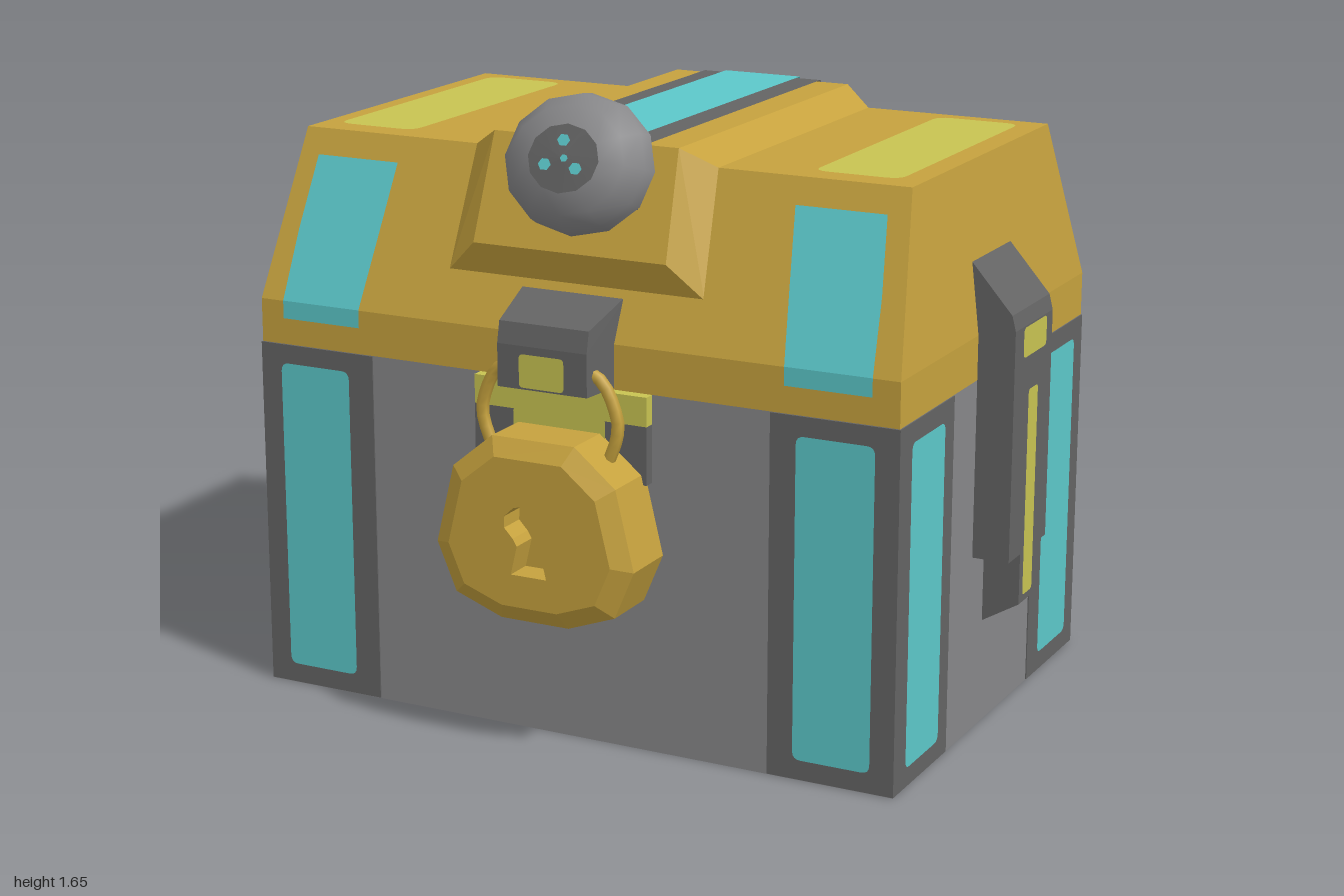
import * as THREE from 'three';
import { ConvexGeometry } from 'three/addons/geometries/ConvexGeometry.js';

const mat = (name, color, side = THREE.FrontSide) => new THREE.MeshStandardMaterial({ name, color, side });
const V = (x, y, z) => new THREE.Vector3(x, y, z);

export function createModel() {
  const root = new THREE.Group();
  root.name = 'treasureChest';
  const gold = mat('gold', 0xc6a23e);
  const grey = mat('grey', 0x878789, THREE.DoubleSide);
  const dark = mat('darkGrey', 0x646464, THREE.DoubleSide);
  const teal = mat('teal', 0x5cc8ca, THREE.DoubleSide);
  const yellow = mat('yellow', 0xc8c452, THREE.DoubleSide);

  const add = (name, geo, material, pos = [0, 0, 0], rot = [0, 0, 0], parent = root) => {
    const m = new THREE.Mesh(geo, material);
    m.name = name;
    m.position.set(...pos);
    m.rotation.set(...rot);
    parent.add(m);
    return m;
  };
  const box = (name, material, x0, x1, y0, y1, z0, z1) =>
    add(name, new THREE.BoxGeometry(x1 - x0, y1 - y0, z1 - z0), material,
      [(x0 + x1) / 2, (y0 + y1) / 2, (z0 + z1) / 2]);

  // Flat rounded panel facing +z
  const panel = (w, h, r = 0.022) => {
    const s = new THREE.Shape(), a = w / 2, b = h / 2;
    s.moveTo(-a + r, -b).lineTo(a - r, -b).quadraticCurveTo(a, -b, a, -b + r)
      .lineTo(a, b - r).quadraticCurveTo(a, b, a - r, b)
      .lineTo(-a + r, b).quadraticCurveTo(-a, b, -a, b - r)
      .lineTo(-a, -b + r).quadraticCurveTo(-a, -b, -a + r, -b);
    return new THREE.ShapeGeometry(s, 4);
  };
  // Faceted surface through rows of points
  const surface = (rows) => {
    const p = [];
    for (let i = 0; i < rows.length - 1; i++) {
      for (let j = 0; j < rows[i].length - 1; j++) {
        const a = rows[i][j], b = rows[i][j + 1], c = rows[i + 1][j + 1], d = rows[i + 1][j];
        for (const v of [a, b, c, a, c, d]) p.push(v.x, v.y, v.z);
      }
    }
    const g = new THREE.BufferGeometry();
    g.setAttribute('position', new THREE.Float32BufferAttribute(p, 3));
    g.computeVertexNormals();
    return g;
  };
  // Ribbon from rows of [x0, x1, y, z]
  const ribbon = (rows) => surface(rows.map(([a, b, y, z]) => [V(a, y, z), V(b, y, z)]));
  const hull = (pts) => new ConvexGeometry(pts.flatMap(([x, y, z]) => [V(x, y, z), V(-x, y, z)]));

  // Body with corner posts and inlaid panels
  box('body', grey, -0.9, 0.9, 0, 0.935, -0.72, 0.525);
  for (const s of [-1, 1]) {
    const a = s * 0.563, b = s * 0.903;
    const x0 = Math.min(a, b), x1 = Math.max(a, b);
    box('frontCornerPost', dark, x0, x1, 0.002, 0.934, 0.19, 0.528);
    box('backCornerPost', dark, x0, x1, 0.002, 0.934, -0.723, -0.38);
    const g = panel(0.207, 0.83);
    add('frontPanel', g, teal, [s * 0.737, 0.47, 0.532]);
    add('backPanel', g, teal, [s * 0.737, 0.47, -0.727], [0, Math.PI, 0]);
    for (const z of [0.36, -0.55]) add('sidePanel', g, teal, [s * 0.907, 0.47, z], [0, s * Math.PI / 2, 0]);
  }

  // Lid and its raised central band
  add('lid', hull([
    [0.9, 0.935, 0.525], [0.9, 0.935, -0.72], [0.9, 1.05, 0.525], [0.9, 1.05, -0.72],
    [0.85, 1.48, 0.36], [0.85, 1.48, -0.55],
  ]), gold);
  add('lidBand', hull([
    [0.36, 1.175, 0.475], [0.34, 1.48, 0.36], [0.34, 1.48, -0.55], [0.36, 1.21, -0.655],
    [0.27, 1.26, 0.505], [0.258, 1.53, 0.412], [0.258, 1.53, -0.596], [0.27, 1.322, -0.684],
  ]), gold);
  add('bandStripe', ribbon([
    [-0.175, 0.175, 1.38, -0.665], [-0.175, 0.175, 1.534, -0.6],
    [-0.175, 0.175, 1.534, 0.416], [-0.175, 0.175, 1.38, 0.469],
  ]), dark);
  add('bandInlay', ribbon([
    [-0.112, 0.112, 1.43, -0.648], [-0.112, 0.112, 1.538, -0.604],
    [-0.112, 0.112, 1.538, 0.42], [-0.112, 0.112, 1.43, 0.456],
  ]), teal);
  for (const s of [-1, 1]) {
    add('lidTopPanel', panel(0.228, 0.79, 0.04), yellow, [s * 0.68, 1.484, -0.095], [-Math.PI / 2, 0, 0]);
    for (const [name, z0, z1] of [['lidFrontPanel', 0.53, 0.389], ['lidBackPanel', -0.725, -0.58]]) {
      add(name, ribbon([
        [s * 0.6, s * 0.83, 1.005, z0], [s * 0.6, s * 0.83, 1.052, z0],
        [s * 0.58, s * 0.82, 1.23, z0 + (z1 - z0) * 0.49], [s * 0.56, s * 0.8, 1.415, z1],
      ]), teal);
    }
  }

  // Side handles
  const sideProfile = (pts, depth) =>
    new THREE.ExtrudeGeometry(new THREE.Shape(pts.map(([x, y]) => new THREE.Vector2(x, y))),
      { depth, bevelEnabled: false });
  const upper = [[0.87, 0.47], [0.998, 0.47], [0.998, 1.07], [0.988, 1.11], [0.87, 1.245]];
  const lower = [[0.88, 0.265], [0.998, 0.335], [0.998, 0.48], [0.88, 0.48]];
  for (const s of [-1, 1]) {
    const flip = (pts) => pts.map(([x, y]) => [s * x, y]);
    add('handleUpper', sideProfile(flip(upper), 0.26), dark, [0, 0, -0.225]);
    add('handleLower', sideProfile(flip(lower), 0.105), dark, [0, 0, -0.15]);
    const rot = [0, s * Math.PI / 2, 0];
    add('handleStrip', panel(0.065, 0.545, 0.012), yellow, [s, 0.627, -0.097], rot);
    add('handleBadge', panel(0.16, 0.078, 0.015), yellow, [s, 1.028, -0.1], rot);
  }

  // Latch and its back plate
  add('latch', hull([
    [0.145, 0.94, 0.46], [0.145, 1.165, 0.46], [0.125, 0.94, 0.642],
    [0.125, 1.05, 0.642], [0.125, 1.105, 0.63],
  ]), dark);
  add('latchBadge', panel(0.125, 0.085, 0.012), yellow, [0, 0.988, 0.646]);
  box('latchPlate', dark, -0.243, 0.243, 0.71, 0.86, 0.52, 0.555);
  box('latchPlateTop', yellow, -0.243, 0.243, 0.86, 0.935, 0.52, 0.555);
  add('latchPlateInlay', panel(0.26, 0.09, 0.01), yellow, [0, 0.82, 0.559]);

  // Padlock: faceted body with a recessed keyhole
  const half = [[0.095, 0.357], [0.225, 0.405], [0.278, 0.53], [0.228, 0.735], [0.115, 0.828]];
  const outline = [...half, ...half.map(([x, y]) => [-x, y]).reverse()];
  const inner = outline.map(([x, y]) => [x * 0.82, 0.592 + (y - 0.592) * 0.81]);
  const ring = (pts, z) => [...pts, pts[0]].map(([x, y]) => V(x, y, z));
  const toShape = (pts) => new THREE.Shape(pts.map(([x, y]) => new THREE.Vector2(x, y)));
  const keyhole = [[-0.05, 0.485], [0.05, 0.485], [0.032, 0.56]];
  for (let i = 0; i <= 8; i++) {
    const a = -0.9 + i * (Math.PI + 1.8) / 8;
    keyhole.push([0.07 * Math.cos(a), 0.618 + 0.05 * Math.sin(a)]);
  }
  keyhole.push([-0.032, 0.56]);
  add('padlockBack', new THREE.ExtrudeGeometry(toShape(outline), { depth: 0.11, bevelEnabled: false }),
    gold, [0, 0, 0.535]);
  add('padlockRim', surface([ring(outline, 0.645), ring(outline, 0.69), ring(inner, 0.72)]), gold);
  const face = toShape(inner);
  face.holes.push(new THREE.Path(keyhole.map(([x, y]) => new THREE.Vector2(x, y))));
  add('padlockFace', new THREE.ShapeGeometry(face), gold, [0, 0, 0.72]);
  add('keyholeWall', surface([ring(keyhole, 0.72), ring(keyhole, 0.645)]), gold);

  // Shackle
  const arc = [[-0.15, 0.74], [-0.19, 0.85], [-0.185, 0.9], [-0.135, 0.985], [0, 1.0],
    [0.135, 0.985], [0.185, 0.9], [0.19, 0.85], [0.15, 0.74]];
  add('shackle', new THREE.TubeGeometry(
    new THREE.CatmullRomCurve3(arc.map(([x, y]) => V(x, y, 0.605))), 28, 0.016, 6), gold);

  // Domed medallion leaning on the band
  const medal = new THREE.Group();
  medal.name = 'medallion';
  medal.position.set(0.003, 1.47, 0.437);
  medal.rotation.x = 1.24;
  medal.scale.z = 0.88;
  root.add(medal);
  const lathe = (pts) => new THREE.LatheGeometry(pts.map(([r, h]) => new THREE.Vector2(r, h)), 12);
  const none = [0, 0, 0];
  add('medallionDome', lathe([[0.203, 0], [0.196, 0.04], [0.157, 0.08], [0.098, 0.1]]), grey, none, none, medal);
  add('medallionCentre', lathe([[0.098, 0.1], [0, 0.107]]), dark, none, none, medal);
  for (const [x, z] of [[0, -0.05], [-0.043, 0.022], [0.043, 0.026], [0.008, 0]]) {
    add('medallionDot', new THREE.CircleGeometry(x === 0.008 ? 0.011 : 0.018, 6), teal,
      [x, 0.111, z], [-Math.PI / 2, 0, 0], medal);
  }
  return root;
}
